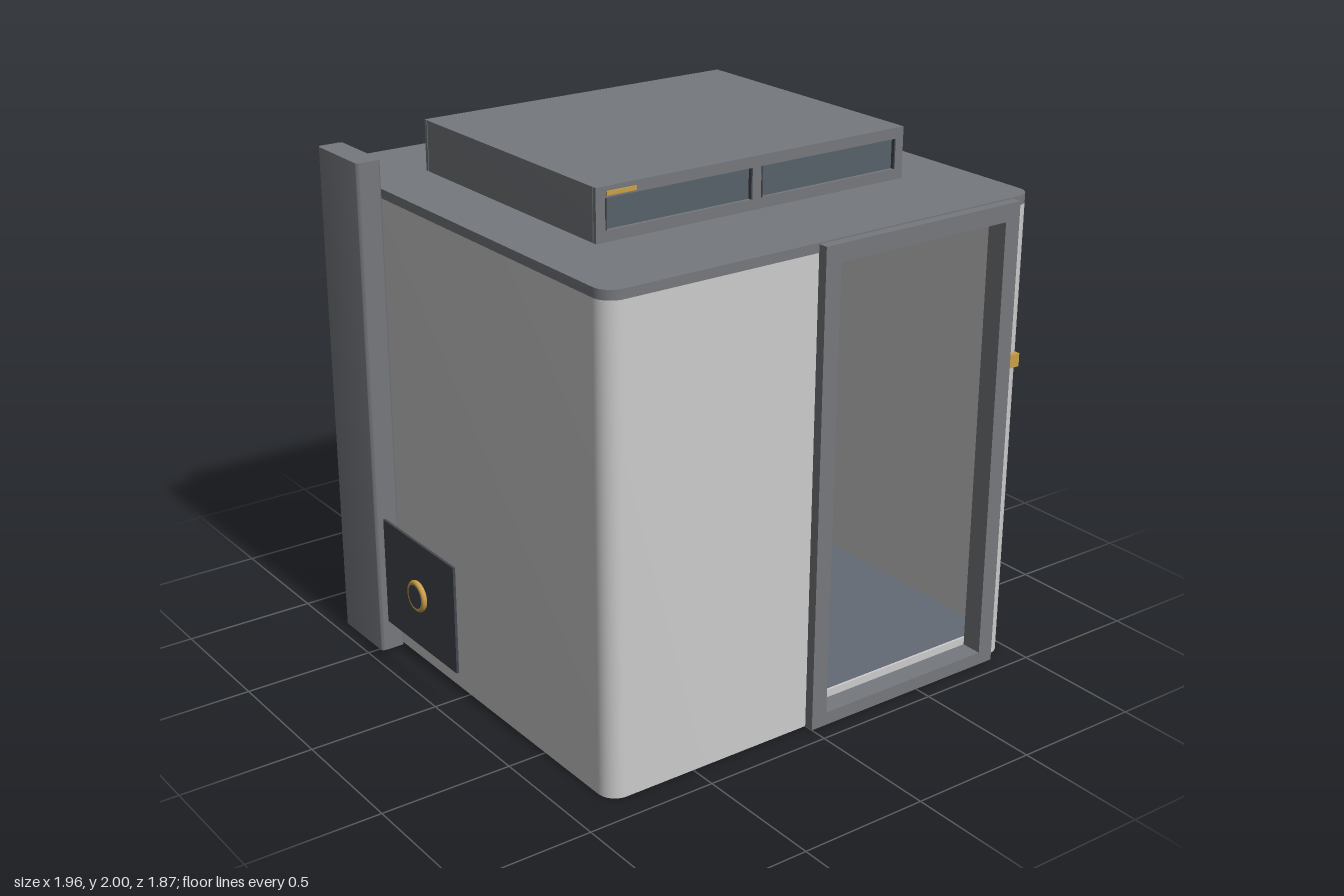
import * as THREE from 'three';
import { toCreasedNormals } from 'three/addons/utils/BufferGeometryUtils.js';

const mat = (color) => new THREE.MeshStandardMaterial({ color });
const white = mat(0xcccccc), grey = mat(0x75787d), dark = mat(0x42464d), base = mat(0x303236);
const floorGrey = mat(0x646a75), gold = mat(0xc99f4a), paleBlue = mat(0xb4cbd8);
const teal = mat(0x55b597), panelGrey = mat(0x56606a), steel = mat(0x8a8f96);

// Outer plan and wall thickness
const X0 = -0.85, X1 = 0.98, Z0 = -0.935, Z1 = 0.895, T = 0.045, R = 0.07;

function add(group, name, geometry, material) {
  const mesh = new THREE.Mesh(geometry, material);
  mesh.name = name;
  group.add(mesh);
  return mesh;
}

// Box given by its limits on each axis
function box(group, name, material, x0, x1, y0, y1, z0, z1) {
  const mesh = add(group, name, new THREE.BoxGeometry(x1 - x0, y1 - y0, z1 - z0), material);
  mesh.position.set((x0 + x1) / 2, (y0 + y1) / 2, (z0 + z1) / 2);
  return mesh;
}

function cylinder(group, name, material, r, h, x, y, z, axis = 'y') {
  const mesh = add(group, name, new THREE.CylinderGeometry(r, r, h, 32), material);
  mesh.position.set(x, y, z);
  if (axis === 'x') mesh.rotation.z = Math.PI / 2;
  if (axis === 'z') mesh.rotation.x = Math.PI / 2;
  return mesh;
}

// Rounded rectangle, drawn in plan with its second axis pointing to -z
function roundedRect(x0, x1, z0, z1, r) {
  const s = new THREE.Shape(), H = Math.PI / 2;
  s.absarc(x1 - r, -z1 + r, r, -H, 0);
  s.absarc(x1 - r, -z0 - r, r, 0, H);
  s.absarc(x0 + r, -z0 - r, r, H, 2 * H);
  s.absarc(x0 + r, -z1 + r, r, 2 * H, 3 * H);
  s.closePath();
  return s;
}

// Plan shape raised from y0 to y1
function slab(group, name, material, shape, y0, y1) {
  const geo = new THREE.ExtrudeGeometry(shape, { depth: y1 - y0, bevelEnabled: false, curveSegments: 6 });
  geo.rotateX(-Math.PI / 2);
  const mesh = add(group, name, toCreasedNormals(geo, 0.5), material);
  mesh.position.y = y0;
  return mesh;
}

// Upright rectangular frame with rectangular openings [x0, x1, y0, y1]
function frame(group, name, material, [x0, x1, y0, y1], openings, z0, z1) {
  const corners = (a, b, c, d) =>
    [[a, c], [b, c], [b, d], [a, d]].map(([x, y]) => new THREE.Vector2(x, y));
  const s = new THREE.Shape(corners(x0, x1, y0, y1));
  openings.forEach((o) => s.holes.push(new THREE.Path(corners(...o).reverse())));
  const mesh = add(group, name, new THREE.ExtrudeGeometry(s, { depth: z1 - z0, bevelEnabled: false }), material);
  mesh.position.z = z0;
  return mesh;
}

// Wall ring in plan, open at the doorway
function wallPlan() {
  const s = new THREE.Shape(), H = Math.PI / 2;
  const g0 = 0.04, g1 = 0.84;
  s.moveTo(g1, -Z1);
  s.absarc(X1 - R, -Z1 + R, R, -H, 0);
  s.absarc(X1 - R, -Z0 - R, R, 0, H);
  s.absarc(X0 + R, -Z0 - R, R, H, 2 * H);
  s.absarc(X0 + R, -Z1 + R, R, 2 * H, 3 * H);
  [[g0, Z1], [g0, Z1 - T], [X0 + T, Z1 - T], [X0 + T, Z0 + T], [X1 - T, Z0 + T], [X1 - T, Z1 - T], [g1, Z1 - T]]
    .forEach(([x, z]) => s.lineTo(x, -z));
  s.closePath();
  return s;
}

function shell() {
  const g = new THREE.Group();
  g.name = 'shell';
  slab(g, 'walls', white, wallPlan(), 0, 1.775);
  slab(g, 'roof', grey, roundedRect(X0, X1, Z0, Z1, R), 1.775, 1.81);
  const inside = [X0 + T, X1 - T], depth = [Z0 + T, Z1 - T];
  box(g, 'base', base, ...inside, 0.001, 0.05, ...depth);
  box(g, 'floorTray', white, ...inside, 0.05, 0.079, ...depth);
  box(g, 'floor', floorGrey, ...inside, 0.079, 0.081, Z0 + T, Z1 - T - 0.01);
  box(g, 'ceiling', white, ...inside, 1.74, 1.775, ...depth);
  frame(g, 'doorFrame', grey, [0, 0.88, 0, 1.805], [[0.065, 0.815, 0.05, 1.74]], 0.85, 0.932);
  return g;
}

// Flat equipment housing on the roof, with two recessed panels front and back
function roofUnit() {
  const g = new THREE.Group();
  g.name = 'roofUnit';
  const x0 = -0.6, x1 = 0.73, z0 = -0.605, z1 = 0.483, d = 0.015;
  slab(g, 'unitCore', grey, roundedRect(x0, x1, z0 + d, z1 - d, 0.005), 1.81, 2);
  const openings = [[-0.56, 0.042, 1.85, 1.96], [0.087, 0.69, 1.85, 1.96]];
  for (const [a, b, side] of [[z1 - d, z1, 1], [z0, z0 + d, -1]]) {
    frame(g, 'unitFrame', grey, [x0, x1, 1.81, 2], openings, a, b);
    const panelZ = side > 0 ? [a, a + 0.003] : [b - 0.003, b];
    for (const [p, q, r, s] of openings) {
      box(g, 'recessedPanel', panelGrey, p, q, r, s, ...panelZ);
      for (const x of [p, q]) box(g, 'panelEdge', dark, x - 0.003, x + 0.003, r, s, a - 0.002, b + 0.002);
    }
    const z = side > 0 ? z1 : z0;
    box(g, 'indicatorStrip', gold, -0.56, -0.44, 1.968, 1.983, z - 0.006, z + 0.006);
  }
  return g;
}

function sideServices() {
  const g = new THREE.Group();
  g.name = 'sideServices';
  slab(g, 'serviceDuct', grey, roundedRect(-0.95, -0.852, -0.77, -0.48, 0.015), 0, 1.92);
  box(g, 'servicePlate', dark, -0.963, -0.953, 0.17, 0.59, -0.395, 0.1);
  cylinder(g, 'portCap', dark, 0.045, 0.03, -0.968, 0.38, -0.148, 'x');
  const ring = add(g, 'portRing', new THREE.TorusGeometry(0.05, 0.011, 12, 36), gold);
  ring.rotation.y = Math.PI / 2;
  ring.position.set(-0.972, 0.38, -0.148);
  box(g, 'doorSwitch', gold, 0.9, 0.945, 1.17, 1.22, 0.89, 0.912);
  return g;
}

function washbasin() {
  const g = new THREE.Group();
  g.name = 'washbasin';
  slab(g, 'basinTop', white, roundedRect(-0.805, -0.5, -0.71, -0.29, 0.02), 0.645, 0.68);
  cylinder(g, 'bowl', steel, 0.13, 0.004, -0.665, 0.681, -0.5);
  box(g, 'pedestal', white, -0.805, -0.7, 0.08, 0.645, -0.42, -0.32);
  cylinder(g, 'tapStem', steel, 0.01, 0.1, -0.785, 0.73, -0.45);
  cylinder(g, 'tapSpout', steel, 0.008, 0.07, -0.755, 0.775, -0.45, 'x');
  return g;
}

function interiorFittings() {
  const g = new THREE.Group();
  g.name = 'interiorFittings';
  box(g, 'tallPanel', paleBlue, 0.235, 0.56, 0.08, 1.635, -0.89, -0.87);
  box(g, 'panelRail', white, 0.225, 0.57, 1.635, 1.655, -0.89, -0.855);
  box(g, 'ceilingLight', teal, 0.08, 0.8, 1.722, 1.741, -0.65, 0.35);
  box(g, 'showerRail', steel, 0.805, 0.82, 0.84, 1.71, -0.51, -0.49);
  box(g, 'showerArm', steel, 0.82, 0.94, 1.69, 1.71, -0.51, -0.49);
  cylinder(g, 'showerHead', white, 0.04, 0.022, 0.8, 1.7, -0.5);
  cylinder(g, 'floorDrain', steel, 0.08, 0.01, 0.1, 0.085, -0.25);
  return g;
}

export function createModel() {
  const model = new THREE.Group();
  model.name = 'bathroomPod';
  model.add(shell(), roofUnit(), sideServices(), washbasin(), interiorFittings());
  return model;
}
